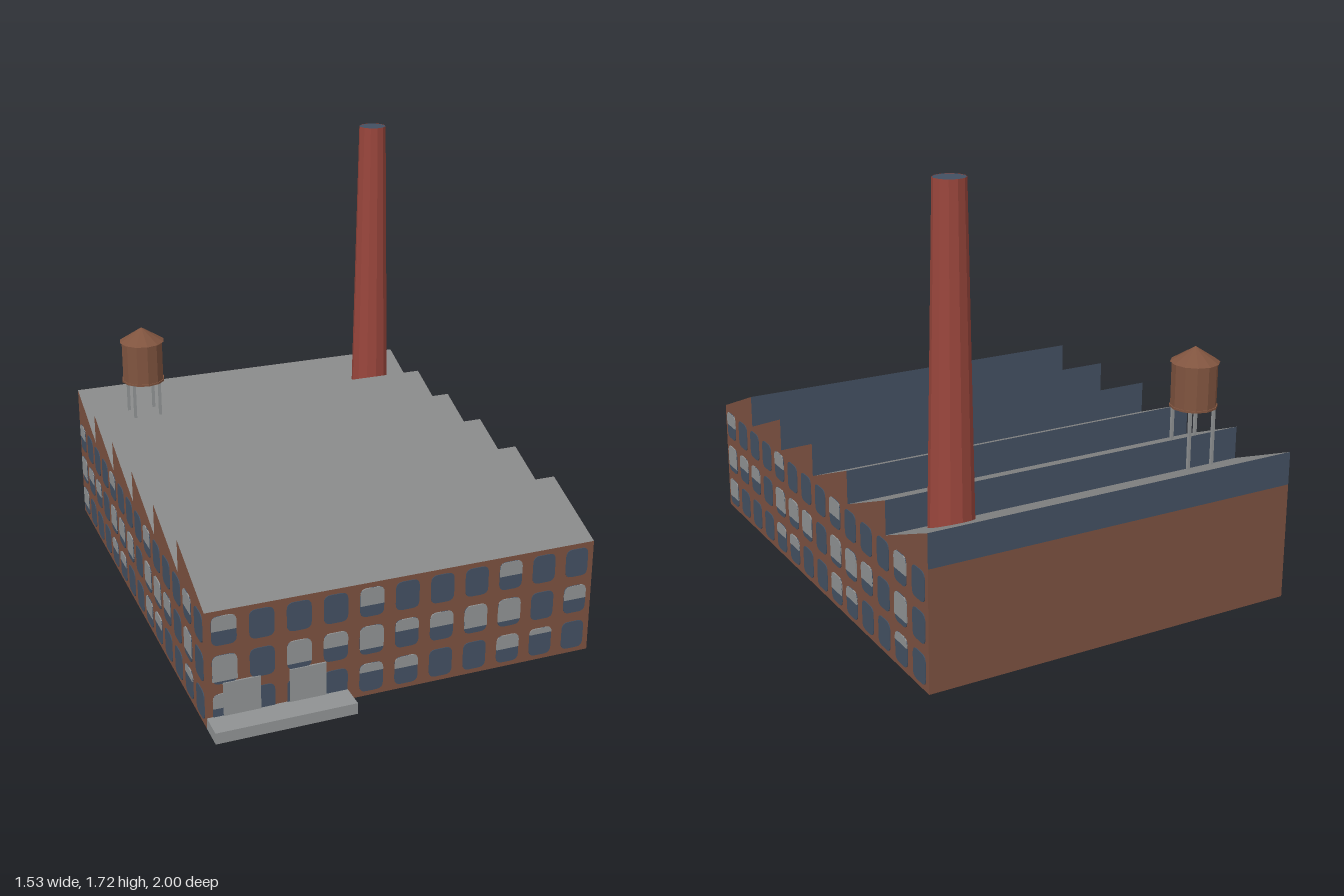
import * as THREE from 'three';
import { mergeGeometries } from 'three/addons/utils/BufferGeometryUtils.js';

const mat = (name, color, extra = {}) =>
  Object.assign(new THREE.MeshStandardMaterial({ color, ...extra }), { name });

export function createModel() {
  const D = { side: THREE.DoubleSide };
  const brick = mat('brick', 0x7c5140, D);
  const roofGrey = mat('roof grey', 0x868787, D);
  const glass = mat('glass', 0x435062, D);
  const paleGrey = mat('pale grey', 0x8f9293);
  const chimneyRed = mat('chimney red', 0x9a463c, { side: THREE.DoubleSide, flatShading: true });
  const tankWood = mat('tank wood', 0x80543f, { flatShading: true });

  const W = 1.52, H = 0.46, PEAK = 0.59, FRONT = 0.9, BACK = -1;
  const L = FRONT - BACK, MID = (FRONT + BACK) / 2, TEETH = 6, STEP = L / TEETH;

  const model = new THREE.Group();
  model.name = 'factory';
  const add = (parent, name, geo, material, x = 0, y = 0, z = 0) => {
    const m = new THREE.Mesh(geo, material);
    m.name = name;
    m.position.set(x, y, z);
    parent.add(m);
    return m;
  };

  // Window pane with rounded top, and rounded bottom when it is full height
  const WW = 0.092, WH = 0.114, R = 0.026;
  function pane(cx, cy, fraction, depth) {
    const l = -WW / 2, r = WW / 2, t = WH / 2, b = t - WH * fraction;
    const rb = fraction === 1 ? R : 0.001;
    const rt = Math.min(R, WH * fraction * 0.9);
    const s = new THREE.Shape();
    s.moveTo(l + rb, b);
    s.lineTo(r - rb, b);
    s.quadraticCurveTo(r, b, r, b + rb);
    s.lineTo(r, t - rt);
    s.quadraticCurveTo(r, t, r - rt, t);
    s.lineTo(l + rt, t);
    s.quadraticCurveTo(l, t, l, t - rt);
    s.lineTo(l, b + rb);
    s.quadraticCurveTo(l, b, l + rb, b);
    return new THREE.ExtrudeGeometry(s, { depth, bevelEnabled: false, curveSegments: 4 })
      .translate(cx, cy, -depth / 2);
  }

  // Rows of windows on a wall; each digit is how far the blind is drawn, in tenths
  function windows(wall, length, rows) {
    const panes = [], blinds = [];
    rows.forEach((row, j) => [...row].forEach((digit, i) => {
      const x = ((i + 0.5) / row.length - 0.5) * length;
      const y = H * (1 - (j + 0.5) / rows.length);
      panes.push(pane(x, y, 1, 0.006));
      if (digit !== '0') blinds.push(pane(x, y, digit / 10, 0.009));
    }));
    add(wall, 'windowPanes', mergeGeometries(panes), glass);
    add(wall, 'windowBlinds', mergeGeometries(blinds), paleGrey);
  }

  // Front wall with windows, back wall plain
  const frontWall = new THREE.Group();
  frontWall.name = 'frontWall';
  frontWall.position.z = FRONT;
  model.add(frontWall);
  add(frontWall, 'frontBrick', new THREE.PlaneGeometry(W, H), brick, 0, H / 2);
  windows(frontWall, W, ['50006000500', '90858458805', '50003400520']);
  add(model, 'backWall', new THREE.PlaneGeometry(W, H).rotateY(Math.PI), brick, 0, H / 2, BACK);

  // Side walls with the sawtooth outline
  const sideRows = ['50005000600060', '85508780886080', '70004400640030'];
  for (const side of [1, -1]) {
    const wall = new THREE.Group();
    wall.name = side > 0 ? 'leftWall' : 'rightWall';
    wall.position.set(side * W / 2, 0, MID);
    wall.rotation.y = side * Math.PI / 2;
    model.add(wall);
    const s = new THREE.Shape();
    s.moveTo(-side * L / 2, 0);
    for (let i = 0; i < TEETH; i++) {
      s.lineTo(side * (i * STEP - L / 2), H);
      s.lineTo(side * ((i + 1) * STEP - L / 2), PEAK);
    }
    s.lineTo(side * L / 2, 0);
    add(wall, 'sideBrick', new THREE.ShapeGeometry(s), brick);
    windows(wall, L, sideRows);
  }

  // Sawtooth roof: a slope and an upright skylight for each tooth
  const rise = PEAK - H, slope = Math.hypot(rise, STEP);
  for (let i = 0; i < TEETH; i++) {
    const z = FRONT - i * STEP;
    const tilt = Math.atan2(rise, STEP) - Math.PI / 2;
    add(model, 'roofSlope', new THREE.PlaneGeometry(W, slope).rotateX(-Math.PI / 2 - (tilt + Math.PI / 2) * -1),
      roofGrey, 0, (H + PEAK) / 2, z - STEP / 2);
    add(model, 'skylight', new THREE.PlaneGeometry(W, rise).rotateY(Math.PI),
      glass, 0, (H + PEAK) / 2, z - STEP);
  }
  add(model, 'ceiling', new THREE.PlaneGeometry(W, L).rotateX(Math.PI / 2), roofGrey, 0, H - 0.002, MID);

  // Loading dock and its two doors
  add(model, 'loadingDock', new THREE.BoxGeometry(0.53, 0.044, 0.1), paleGrey, -0.495, 0.022, 0.95);
  for (const x of [-0.63, -0.383])
    add(model, 'loadingDoor', new THREE.BoxGeometry(0.138, 0.132, 0.014), paleGrey, x, 0.11, FRONT);

  // Tapered chimney standing on the ground, dark at the mouth
  const cx = 0.57, cz = -0.81, top = 1.715;
  add(model, 'chimney', new THREE.CylinderGeometry(0.058, 0.093, top, 12, 1, true), chimneyRed, cx, top / 2, cz);
  add(model, 'chimneyMouth', new THREE.CircleGeometry(0.0575, 12).rotateX(-Math.PI / 2), glass, cx, top - 0.001, cz);

  // Water tank on four legs
  const tank = new THREE.Group();
  tank.name = 'waterTank';
  tank.position.set(-0.535, 0, -0.695);
  model.add(tank);
  add(tank, 'tankBody', new THREE.CylinderGeometry(0.088, 0.088, 0.175, 12), tankWood, 0, 0.8075);
  add(tank, 'tankBase', new THREE.CylinderGeometry(0.092, 0.092, 0.008, 12), tankWood, 0, 0.722);
  add(tank, 'tankRoof', new THREE.ConeGeometry(0.095, 0.06, 12), tankWood, 0, 0.925);
  for (const x of [-0.055, 0.055])
    for (const z of [-0.055, 0.055])
      add(tank, 'tankLeg', new THREE.BoxGeometry(0.011, 0.24, 0.011), paleGrey, x, 0.6, z);

  return model;
}
